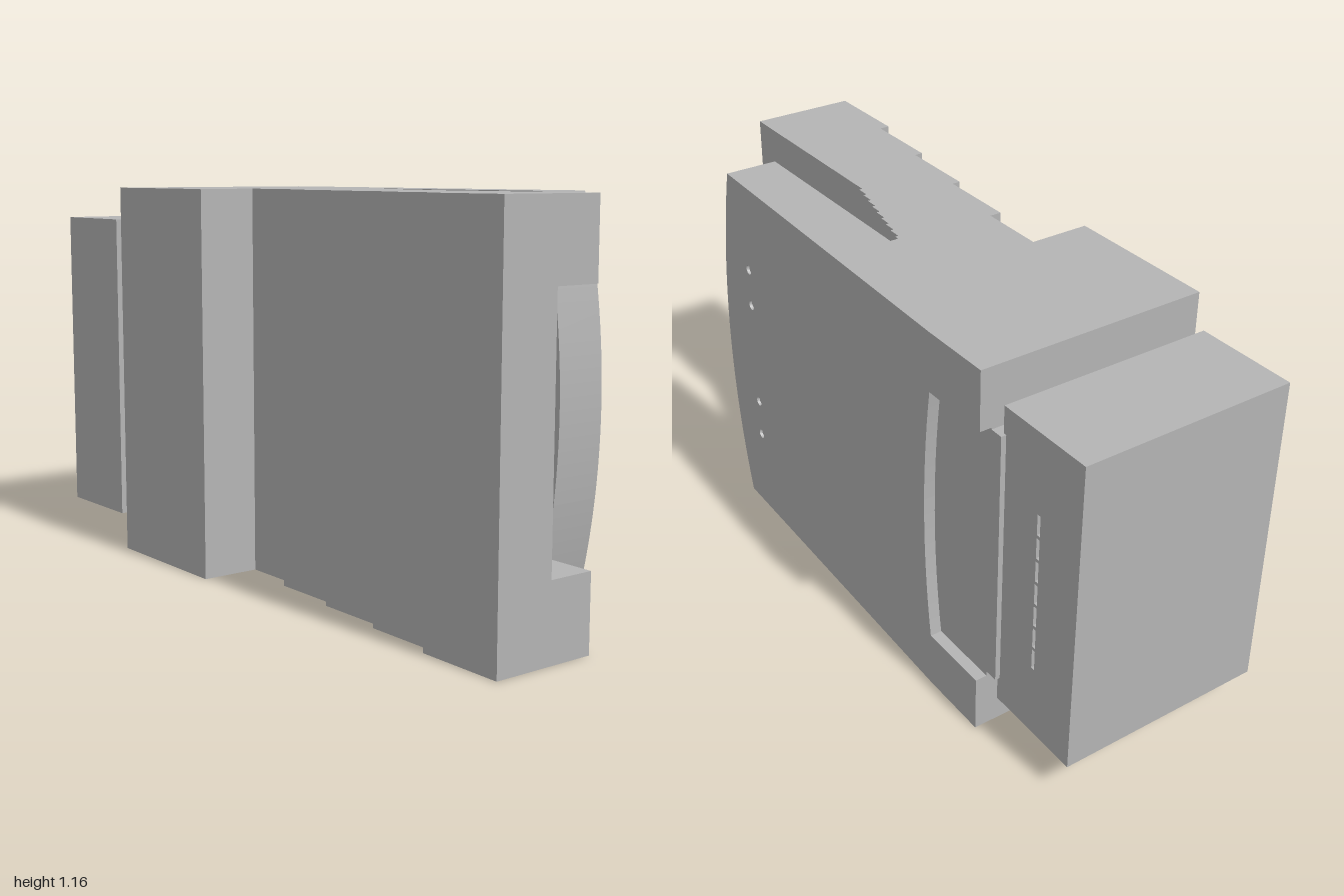
import * as THREE from 'three';

const H = 1.16;        // body height
const MID = H / 2;

export function createModel() {
  const group = new THREE.Group();
  const grey = new THREE.MeshStandardMaterial({ color: 0xb4b4b4 });

  const add = (name, geometry) => {
    const mesh = new THREE.Mesh(geometry, grey);
    mesh.name = name;
    group.add(mesh);
    return mesh;
  };
  const box = (name, x0, x1, y0, y1, z0, z1) => {
    const g = new THREE.BoxGeometry(x1 - x0, y1 - y0, z1 - z0);
    g.translate((x0 + x1) / 2, (y0 + y1) / 2, (z0 + z1) / 2);
    return add(name, g);
  };
  const shapeOf = (pts) => new THREE.Shape(pts.map(([x, y]) => new THREE.Vector2(x, y)));
  // slab between two depths, outlined in x and y
  const slab = (shape, z0, z1) => {
    const g = new THREE.ExtrudeGeometry(shape, { depth: z1 - z0, bevelEnabled: false, curveSegments: 12 });
    return g.translate(0, 0, z0);
  };
  // points along an edge that bows towards +x at mid height
  const bowed = (x, bow, y0, y1, n = 24) => Array.from({ length: n + 1 }, (_, i) => {
    const y = y0 + (y1 - y0) * i / n;
    return [x + bow * (1 - ((y - MID) / MID) ** 2), y];
  });

  // Body: spine and stepped front, a side profile run over the full height
  const profile = [
    [-0.66, -0.155], [0.03, -0.155], [0.03, 0.1], [1, 0.1], [1, 0.28], [0.73, 0.28],
    [0.73, 0.25], [0.49, 0.25], [0.49, 0.225], [0.25, 0.225], [0.25, 0.2], [0.01, 0.2],
    [0.01, 0.165], [-0.19, 0.165], [-0.19, 0.345], [-0.66, 0.345],
  ];
  const body = new THREE.ExtrudeGeometry(shapeOf(profile.map(([x, z]) => [x, -z])),
    { depth: H, bevelEnabled: false });
  add('steppedBody', body.rotateX(-Math.PI / 2));

  // Rails on either side of the pocket
  box('lowerRail', 0.03, 1, 0, 0.22, -0.04, 0.1);
  box('upperRail', 0.03, 1, 0.94, H, -0.04, 0.1);

  // Ridged ramp: thin bowed layers, full height first, then inside the pocket
  const ridge = (z0, z1, x, bow, y0, y1) =>
    add('rampRidge', slab(shapeOf([[0.02, y0], ...bowed(x, bow, y0, y1), [0.02, y1]]), z0, z1));
  ridge(-0.155, -0.13, 0.035, 0.13, 0, H);
  for (let i = 0; i < 9; i++) {
    ridge(-0.13 + i * 0.01, -0.12 + i * 0.01, 0.05 + i * 0.04, 0.125 - i * 0.003, 0, H);
  }
  for (let i = 0; i < 14; i++) {
    ridge(-0.04 + i * 0.01, -0.03 + i * 0.01, 0.41 + i * 0.036, 0.1, 0.22, 0.94);
  }

  // Back plate with a bowed end
  const plateEnd = bowed(0.69, 0.08, 0, H, 32);
  add('backPlate', slab(shapeOf([[-0.66, 0], ...plateEnd, [-0.66, H]]), -0.31, -0.155));

  // Sloping cover of the back plate, cut by a curved recess and four small holes
  const recess = Array.from({ length: 17 }, (_, i) => {
    const t = i / 16;
    return [-0.44 + 0.03 * (1 - (2 * t - 1) ** 2), 0.985 - 0.81 * t];
  });
  const cover = shapeOf([[-0.44, 0], ...plateEnd, [-0.44, H], ...recess]);
  for (const y of [0.88, 0.757, 0.405, 0.28]) {
    cover.holes.push(new THREE.Path().absarc(0.59, y, 0.015, 0, Math.PI * 2, true));
  }
  const coverGeometry = slab(cover, -0.345, -0.31);
  const p = coverGeometry.attributes.position;
  for (let i = 0; i < p.count; i++) {
    if (p.getZ(i) < -0.33) p.setZ(i, -0.345 + (p.getX(i) + 0.44) * 0.0246);
  }
  coverGeometry.computeVertexNormals();
  add('slopingCover', coverGeometry);
  box('lowerCoverCorner', -0.66, -0.44, 0, 0.175, -0.345, -0.31);
  box('upperCoverCorner', -0.66, -0.44, 0.985, H, -0.345, -0.31);

  // Neck joining the end block
  box('neck', -0.7, -0.65, 0.19, 0.98, -0.31, 0.05);

  // End block with a row of narrow slots in its back
  box('endBlock', -1, -0.69, 0.11, 1.06, -0.265, 0.345);
  const slotted = shapeOf([[-1, 0.11], [-0.69, 0.11], [-0.69, 1.06], [-1, 1.06]]);
  for (let i = 0; i < 7; i++) {
    const y = 0.33 + i * 0.072;
    slotted.holes.push(new THREE.Path([
      [-0.846, y], [-0.846, y + 0.062], [-0.834, y + 0.062], [-0.834, y],
    ].map(([a, b]) => new THREE.Vector2(a, b))));
  }
  add('slottedBack', slab(slotted, -0.295, -0.265));

  return group;
}
